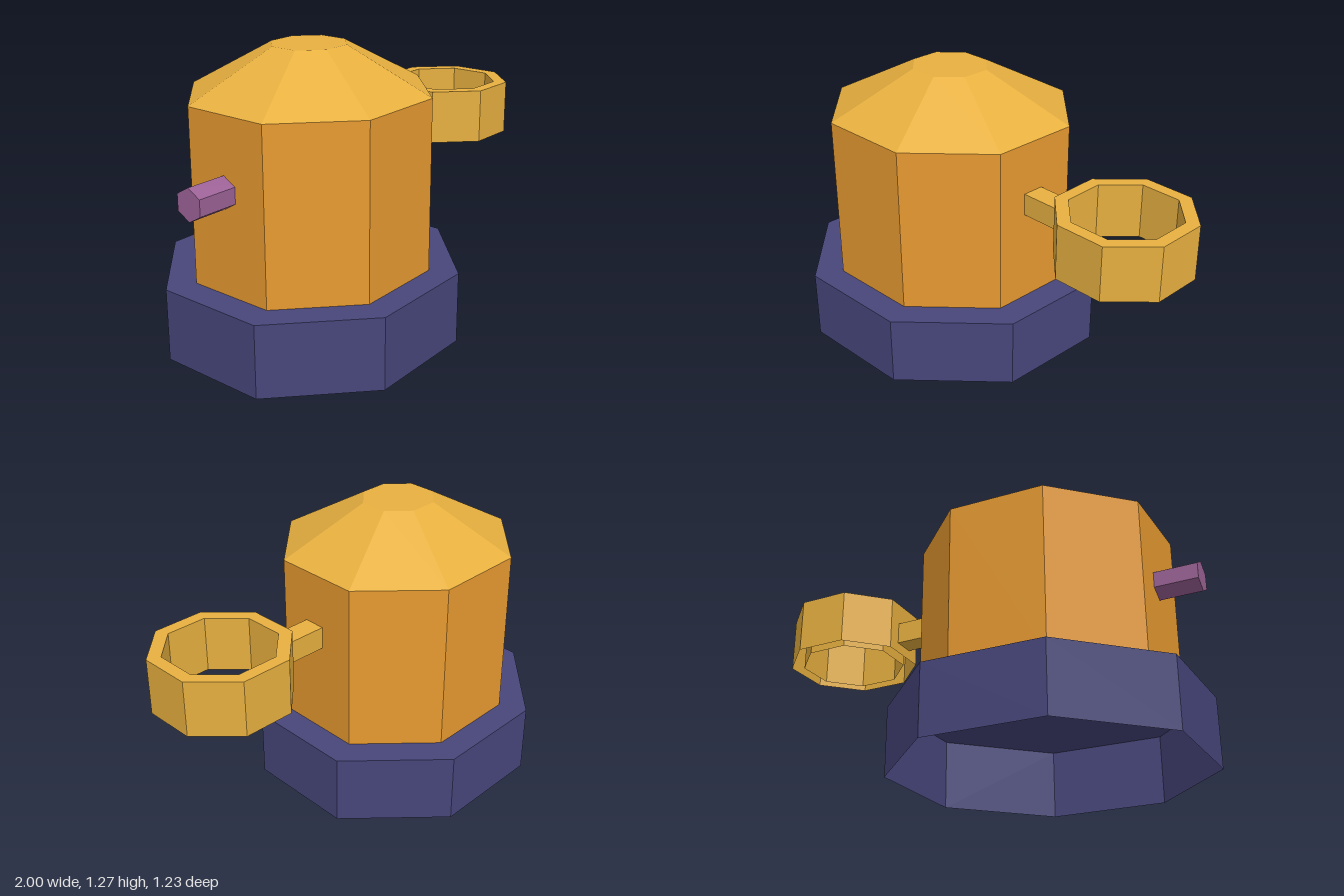
import * as THREE from 'three';

const mat = (name, color, side = THREE.FrontSide) => {
  const m = new THREE.MeshStandardMaterial({ color, side });
  m.name = name;
  return m;
};

// Faceted normals for a low-poly look
function faceted(geometry) {
  const g = geometry.index ? geometry.toNonIndexed() : geometry;
  g.computeVertexNormals();
  return g;
}

// Eight-sided shell turned from [radius, height] pairs
function octagonShell(profile, phiStart = 0) {
  const points = profile.map(([r, y]) => new THREE.Vector2(r, y));
  return new THREE.LatheGeometry(points, 8, phiStart);
}

// Slightly skewed octagonal footprint shared by base, body and roof
const FOOTPRINT = new THREE.Matrix4().set(
  0.648, 0, 0.249, -0.297,
  0, 1, 0, 0,
  -0.268, 0, 0.604, 0,
  0, 0, 0, 1
);
const tier = (profile) => faceted(octagonShell(profile).applyMatrix4(FOOTPRINT));

export function createModel() {
  const group = new THREE.Group();
  const navy = mat('navy', 0x47467b, THREE.DoubleSide);
  const orange = mat('orange', 0xe79a30);
  const gold = mat('gold', 0xe9b140, THREE.DoubleSide);
  const plum = mat('plum', 0x9c6296);

  const add = (name, geometry, material) => {
    const mesh = new THREE.Mesh(geometry, material);
    mesh.name = name;
    group.add(mesh);
  };

  // Stacked octagonal tiers; the base is hollow and open underneath
  add('base', tier([[1, 0], [1, 0.315], [0, 0.315]]), navy);
  add('body', tier([[0.803, 0.315], [0.803, 1.068]]), orange);
  add('roof', tier([[0.803, 1.068], [0.25, 1.268], [0, 1.268]]), gold);

  // Arm reaching out to the ring
  const arm = new THREE.BoxGeometry(0.27, 0.1, 0.1);
  arm.translate(0.315, 0.784, 0);
  add('arm', arm, gold);

  // Octagonal ring with double walls, closed on top and open underneath
  const outer = 0.277 / Math.cos(Math.PI / 8);
  const inner = 0.222 / Math.cos(Math.PI / 8);
  const ring = octagonShell(
    [[outer, 0.687], [outer, 0.933], [inner, 0.933], [inner, 0.687]],
    Math.PI / 8
  );
  ring.translate(0.723, 0, 0);
  add('ring', faceted(ring), gold);

  // Hexagonal peg on the opposite side, one edge upward
  const peg = new THREE.CylinderGeometry(0.07, 0.07, 0.24, 6);
  peg.rotateX(Math.PI / 2);
  peg.rotateY(Math.PI / 2);
  peg.translate(-0.88, 0.754, 0);
  add('peg', faceted(peg), plum);

  return group;
}
